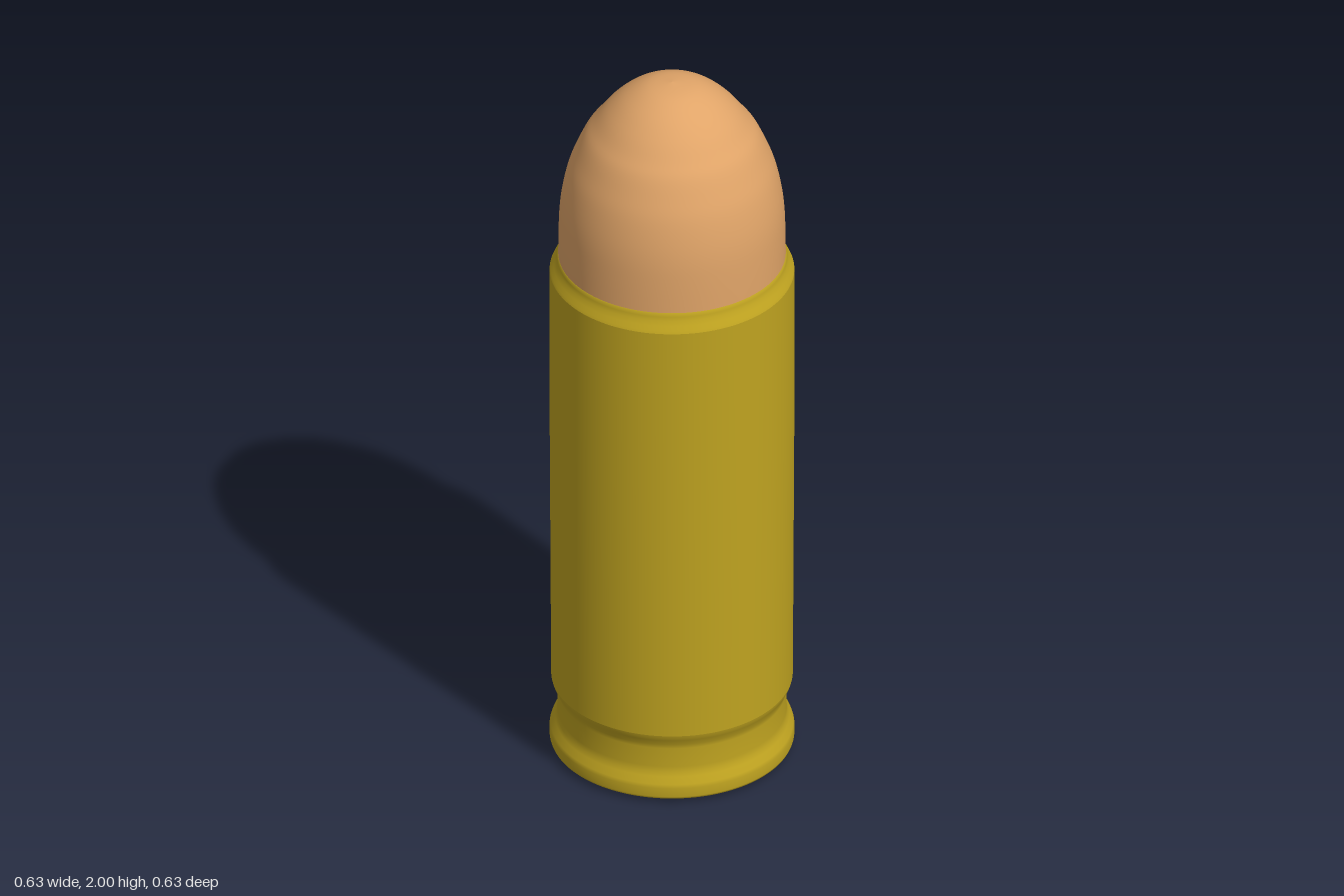
import * as THREE from 'three';

const brass = new THREE.MeshStandardMaterial({ color: 0xbfa320 });
const copper = new THREE.MeshStandardMaterial({ color: 0xe0a468 });

// Revolve a [radius, height] profile, running upward, around the y axis
function turned(name, profile, material) {
  const points = profile.map(([r, y]) => new THREE.Vector2(r, y));
  const mesh = new THREE.Mesh(new THREE.LatheGeometry(points, 128), material);
  mesh.name = name;
  return mesh;
}

export function createModel() {
  const group = new THREE.Group();
  group.name = 'cartridge';

  // Nearly flat underside, slightly proud at the centre
  group.add(turned('base', [[0, 0], [0.18, 0.002], [0.306, 0.01]], brass));

  // Rim with rounded edges, running into the extractor groove
  group.add(turned('rim', [
    [0.306, 0.01], [0.313, 0.014], [0.315, 0.02], [0.315, 0.045], [0.312, 0.055],
    [0.302, 0.073], [0.297, 0.085], [0.295, 0.1], [0.295, 0.155], [0.297, 0.168],
    [0.305, 0.185], [0.309, 0.194], [0.311, 0.202],
  ], brass));

  // Slightly tapered case wall
  group.add(turned('caseWall', [[0.311, 0.202], [0.313, 0.6], [0.315, 1.0], [0.315, 1.43]], brass));

  // Crimped mouth closing onto the bullet
  group.add(turned('caseMouth', [
    [0.315, 1.43], [0.312, 1.437], [0.305, 1.448], [0.299, 1.46], [0.296, 1.47], [0.295, 1.48], [0.29, 1.481],
  ], brass));

  // Round-nosed bullet
  const side = new THREE.SplineCurve([
    [0.293, 1.46], [0.292, 1.55], [0.289, 1.62], [0.281, 1.68], [0.267, 1.74],
    [0.248, 1.79], [0.225, 1.84], [0.2, 1.875], [0.165, 1.92], [0.12, 1.961],
    [0.065, 1.99], [0, 2],
  ].map(([r, y]) => new THREE.Vector2(r, y)));
  const nose = side.getPoints(48).map((p) => [Math.max(p.x, 0), Math.min(p.y, 2)]);
  group.add(turned('bullet', nose, copper));

  return group;
}
